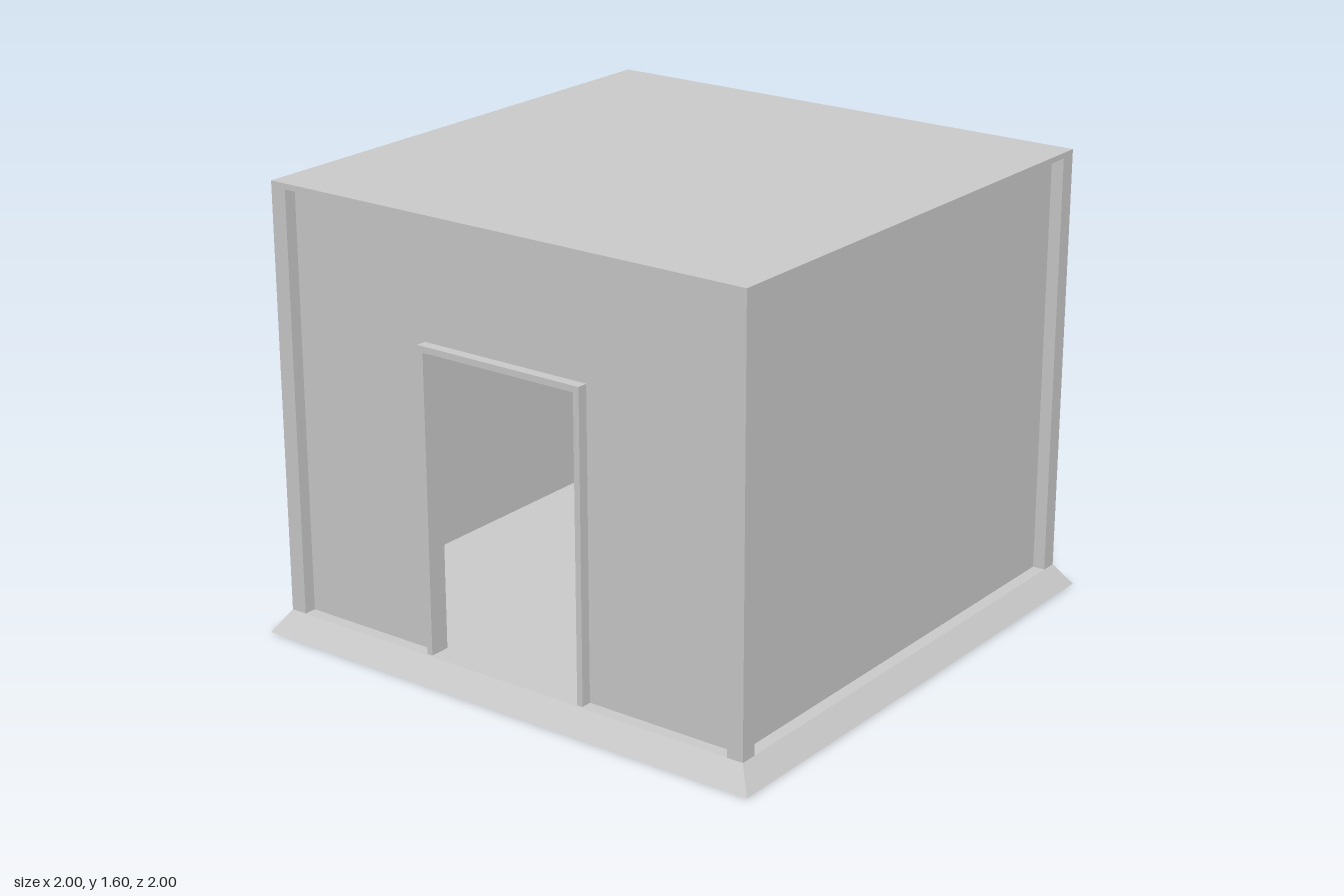
import * as THREE from 'three';

const HALF = 0.945;   // outer half width of the building
const POST = 0.06;    // corner post width
const FLOOR = 0.08;
const ROOF = 1.6;
const SLAB = 0.02;    // roof thickness
const PANEL = 0.9;    // distance of the wall panels from the centre
const DOOR = { left: -0.34, right: 0.315, top: 1.16, trim: 0.022 };

const material = new THREE.MeshStandardMaterial({
  color: 0xcccccc, flatShading: true, side: THREE.DoubleSide,
});

function polygon(points) {
  return new THREE.Shape(points.map(([x, y]) => new THREE.Vector2(x, y)));
}

// Upside-down U: outer outline with a doorway open at the floor
function archway(x0, x1, top, a, b, doorTop) {
  return polygon([
    [x0, FLOOR], [a, FLOOR], [a, doorTop], [b, doorTop],
    [b, FLOOR], [x1, FLOOR], [x1, top], [x0, top],
  ]);
}

export function createModel() {
  const group = new THREE.Group();
  const add = (name, geometry, x = 0, y = 0, z = 0) => {
    const mesh = new THREE.Mesh(geometry, material);
    mesh.name = name;
    mesh.position.set(x, y, z);
    group.add(mesh);
    return mesh;
  };

  // Sloped skirt, hollow underneath
  const skirt = new THREE.CylinderGeometry(HALF * Math.SQRT2, Math.SQRT2, FLOOR, 4, 1, true);
  skirt.rotateY(Math.PI / 4);
  add('baseSkirt', skirt, 0, FLOOR / 2);

  // Floor and roof
  add('floor', new THREE.PlaneGeometry(HALF * 2, HALF * 2).rotateX(-Math.PI / 2), 0, FLOOR);
  add('roof', new THREE.BoxGeometry(HALF * 2, SLAB, HALF * 2), 0, ROOF - SLAB / 2);

  // Corner posts
  const wallTop = ROOF - SLAB;
  const wallHeight = wallTop - FLOOR;
  const postGeometry = new THREE.BoxGeometry(POST, wallHeight, POST);
  const postAt = HALF - POST / 2;
  for (const sx of [-1, 1]) {
    for (const sz of [-1, 1]) {
      add('cornerPost', postGeometry, sx * postAt, FLOOR + wallHeight / 2, sz * postAt);
    }
  }

  // Plain side walls
  const sideWall = new THREE.PlaneGeometry(PANEL * 2, wallHeight);
  for (const s of [-1, 1]) {
    add(s > 0 ? 'leftWall' : 'rightWall', sideWall, s * PANEL, FLOOR + wallHeight / 2)
      .rotation.y = s * Math.PI / 2;
  }

  // Front and back walls, each with a framed doorway
  const { left, right, top, trim } = DOOR;
  const doorWall = new THREE.ShapeGeometry(
    archway(-PANEL, PANEL, wallTop, left + trim / 2, right - trim / 2, top - trim / 2));
  const frameDepth = 0.075;
  const frame = new THREE.ExtrudeGeometry(
    archway(left, right, top, left + trim, right - trim, top - trim),
    { depth: frameDepth, bevelEnabled: false });
  frame.translate(0, 0, -frameDepth / 2);
  for (const s of [-1, 1]) {
    const side = s > 0 ? 'front' : 'back';
    add(side + 'Wall', doorWall, 0, 0, s * PANEL);
    add(side + 'DoorFrame', frame, 0, 0, s * PANEL);
  }

  return group;
}
